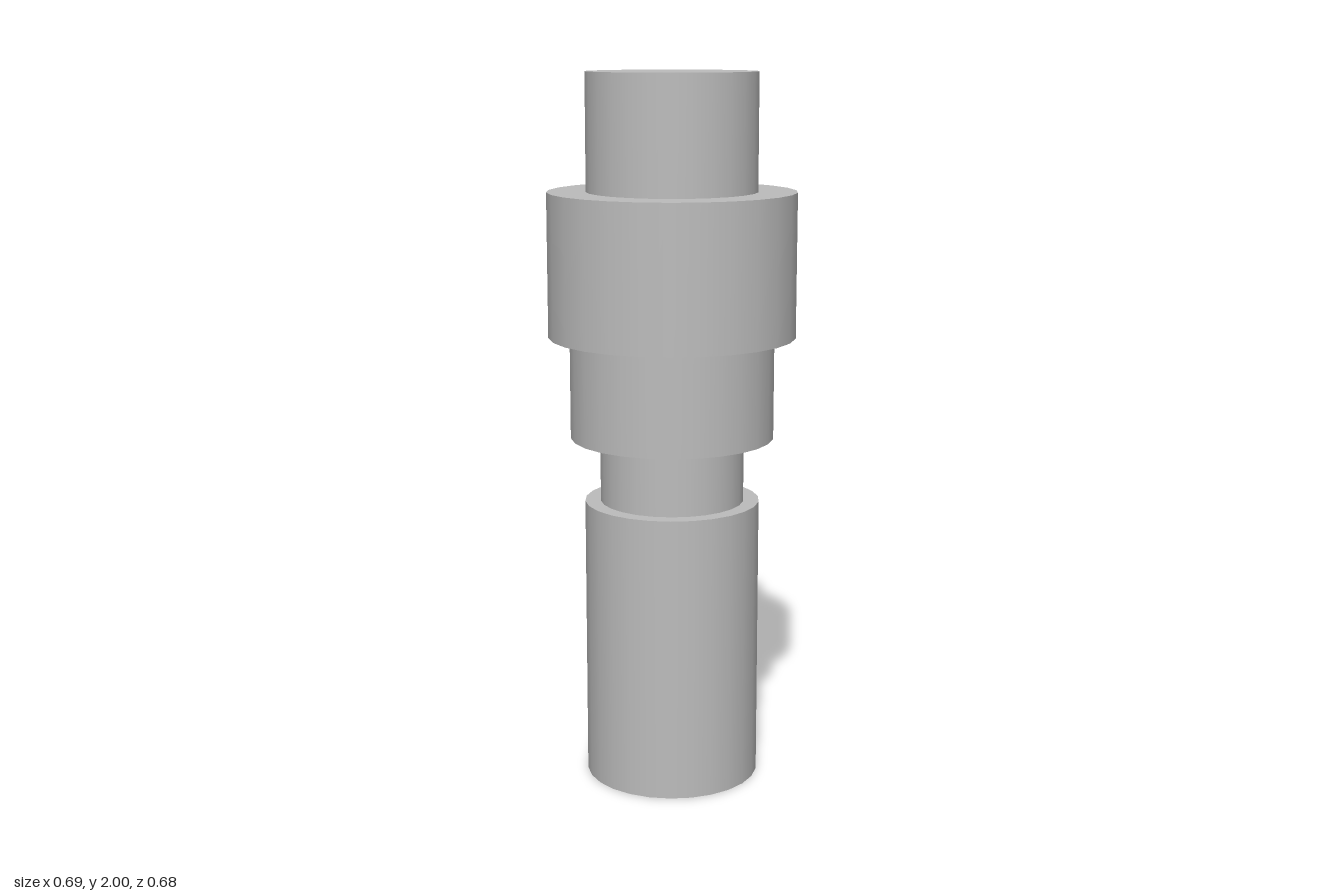
import * as THREE from 'three';

export function createModel() {
  const model = new THREE.Group();
  model.name = 'steppedShaft';

  const grey = new THREE.MeshStandardMaterial({ color: 0xbcbcbc });
  grey.name = 'grey';

  // Coaxial steps from the ground up: name, radius, bottom, top
  const steps = [
    ['lowerShaft', 0.247, 0, 0.807],
    ['neck', 0.203, 0.807, 0.99],
    ['shoulder', 0.286, 0.99, 1.276],
    ['collar', 0.345, 1.276, 1.677],
    ['upperShaft', 0.237, 1.677, 2],
  ];

  for (const [name, radius, bottom, top] of steps) {
    // Start the ring at +x so a corner lies on the x axis
    const geometry = new THREE.CylinderGeometry(radius, radius, top - bottom, 26, 1, false, Math.PI / 2);
    const mesh = new THREE.Mesh(geometry, grey);
    mesh.name = name;
    mesh.position.y = (bottom + top) / 2;
    model.add(mesh);
  }

  return model;
}
